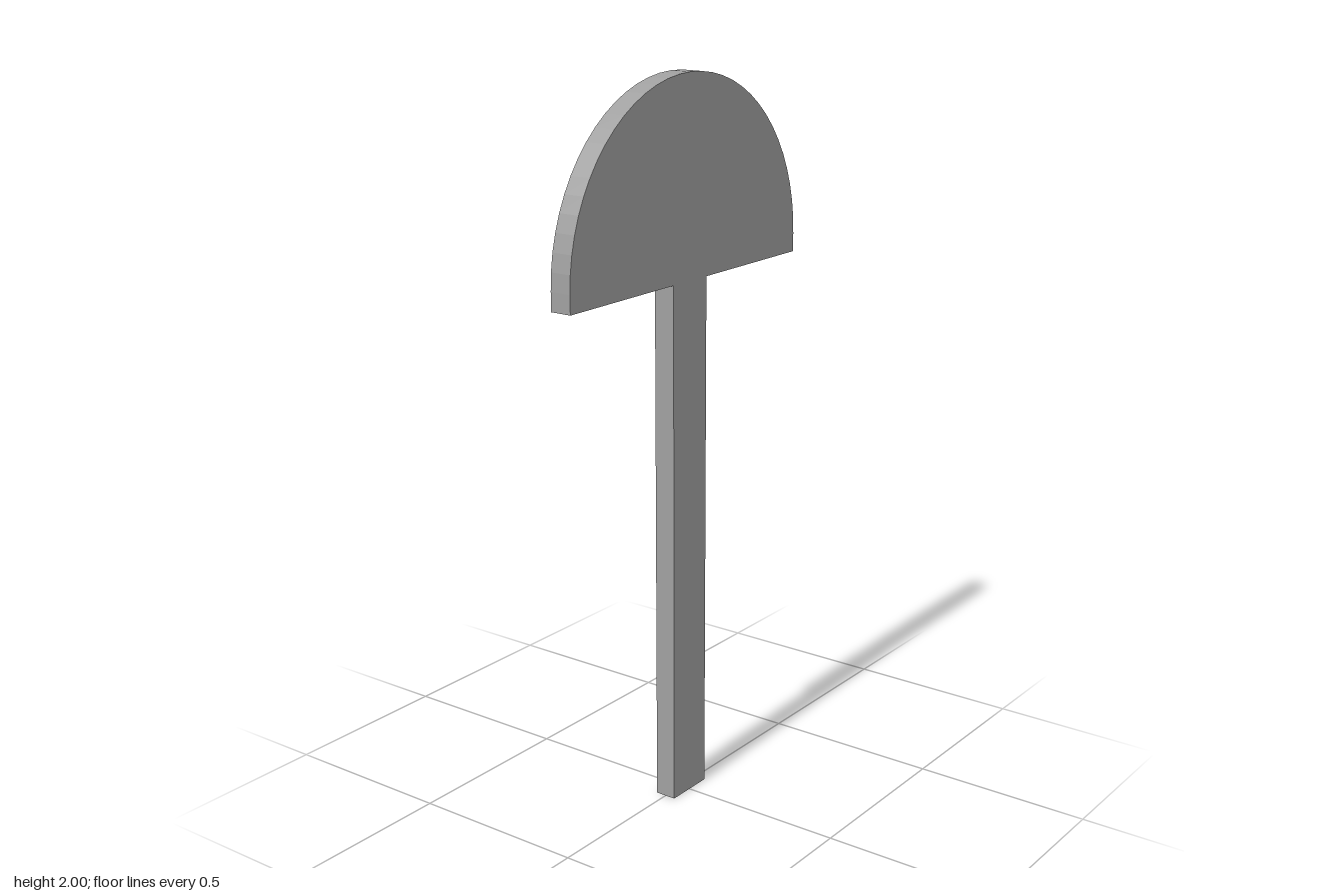
import * as THREE from 'three';

export function createModel() {
  const group = new THREE.Group();
  group.name = 'flatPaddle';
  const grey = new THREE.MeshStandardMaterial({ color: 0xa0a0a0 });
  grey.name = 'grey';

  const stem = 0.072;   // half width of the stem
  const radius = 0.485; // radius of the domed head
  const base = 1.465;   // underside of the head
  const depth = 0.06;

  // One continuous outline: stem, flat underside, round dome
  const outline = new THREE.Shape();
  outline.moveTo(-stem, 0);
  outline.lineTo(stem, 0);
  outline.lineTo(stem, base);
  outline.lineTo(radius, base);
  outline.absarc(0, 2 - radius, radius, 0, Math.PI, false);
  outline.lineTo(-radius, base);
  outline.lineTo(-stem, base);
  outline.closePath();

  const geometry = new THREE.ExtrudeGeometry(outline, { depth, bevelEnabled: false, curveSegments: 16 });
  geometry.translate(0, 0, -depth / 2);
  const body = new THREE.Mesh(geometry, grey);
  body.name = 'domedHeadAndStem';
  group.add(body);
  return group;
}
